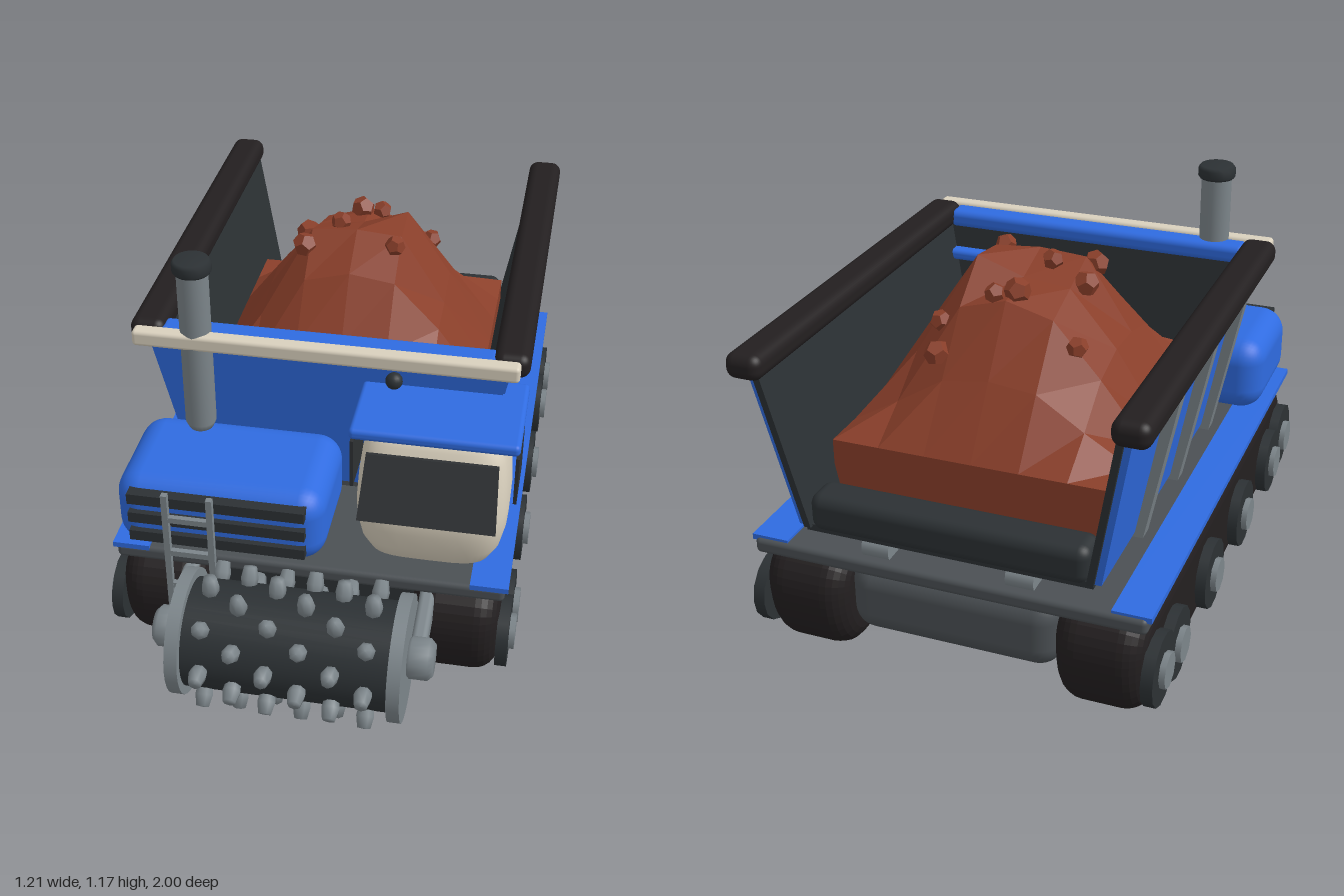
import * as THREE from 'three';
import { RoundedBoxGeometry } from 'three/addons/geometries/RoundedBoxGeometry.js';
import { ConvexGeometry } from 'three/addons/geometries/ConvexGeometry.js';

const mat = (color, flatShading = false) => new THREE.MeshStandardMaterial({ color, flatShading });
const BLUE = mat(0x2f6be0), CREAM = mat(0xd9d0bd), RUBBER = mat(0x231f20), DARK = mat(0x2c3134);
const DECK = mat(0x4b5054), STEEL = mat(0x7c858a), SOIL = mat(0x8a3f2a, true), GLASS = mat(0x2e3133);

export function createModel() {
  const root = new THREE.Group();

  const add = (name, geo, material, x = 0, y = 0, z = 0) => {
    const m = new THREE.Mesh(geo, material);
    m.name = name;
    m.position.set(x, y, z);
    root.add(m);
    return m;
  };
  // box given by its limits, rounded when r > 0
  const box = (name, material, [x0, x1], [y0, y1], [z0, z1], r = 0) => {
    const s = [x1 - x0, y1 - y0, z1 - z0];
    const geo = r ? new RoundedBoxGeometry(...s, 4, r) : new THREE.BoxGeometry(...s);
    return add(name, geo, material, (x0 + x1) / 2, (y0 + y1) / 2, (z0 + z1) / 2);
  };
  // cylinder lying along x
  const axle = (name, material, r, x0, x1, y, z, sides = 24) =>
    add(name, new THREE.CylinderGeometry(r, r, Math.abs(x1 - x0), sides).rotateZ(Math.PI / 2), material, (x0 + x1) / 2, y, z);
  const hull = (name, material, pts) =>
    add(name, new ConvexGeometry(pts.map(p => new THREE.Vector3(...p))), material);
  const lathe = (profile, sides, start = 0) =>
    new THREE.LatheGeometry(profile.map(q => new THREE.Vector2(...q)), sides, start);
  const span = (s, a, b) => s > 0 ? [a, b] : [-b, -a];

  // Crawler tracks: rounded side outline, bevelled across the width
  const b = 0.07, z0 = -0.96 + b, z1 = 0.64 - b, y0 = b, y1 = 0.335 - b;
  const outline = new THREE.Shape();
  outline.moveTo(z0 + 0.08, y0);
  outline.lineTo(z1 - 0.08, y0);
  outline.bezierCurveTo(z1 - 0.02, y0, z1, y0 + 0.09, z1, y0 + 0.14);
  outline.quadraticCurveTo(z1, y1, z1 - 0.05, y1);
  outline.lineTo(z0 + 0.05, y1);
  outline.quadraticCurveTo(z0, y1, z0, y0 + 0.14);
  outline.bezierCurveTo(z0, y0 + 0.09, z0 + 0.02, y0, z0 + 0.08, y0);
  for (const s of [-1, 1]) {
    const geo = new THREE.ExtrudeGeometry(outline, {
      depth: 0.115, bevelSize: b, bevelThickness: b, bevelSegments: 6, curveSegments: 8,
    }).translate(0, 0, -0.0575).rotateY(-Math.PI / 2);
    add('track', geo, RUBBER, s * 0.432, 0, 0);

    // Road wheels with hubs
    for (const [z, y] of [[0.53, 0.155], [0.385, 0.13], [0.02, 0.135], [-0.34, 0.135], [-0.7, 0.135], [-0.85, 0.155]]) {
      axle('wheel', DARK, 0.105, s * 0.556, s * 0.59, y, z, 14);
      axle('wheelHub', STEEL, 0.052, s * 0.58, s * 0.607, y, z, 8);
    }
    // Fender strip
    box('fender', BLUE, span(s, 0.47, 0.58), [0.355, 0.372], [-0.94, 0.6]);
  }

  // Chassis
  box('deck', DECK, [-0.57, 0.57], [0.318, 0.365], [-0.95, 0.6], 0.015);
  box('belly', DARK, [-0.36, 0.36], [0.11, 0.33], [-0.8, 0.55]);
  box('rearTank', DECK, [-0.31, 0.31], [0.1, 0.32], [-0.92, -0.7], 0.07);
  box('subframe', DECK, [-0.3, 0.3], [0.36, 0.42], [-0.85, 0.2]);

  // Hopper: flared side walls with dark lining, ribs and top rails
  for (const s of [-1, 1]) {
    const wall = (name, m, xb, xt, zf, zr) => hull(name, m, [0, 0.02].flatMap(d => [
      [s * (xb - d), 0.425, 0.235 - zf], [s * (xt - d), 0.9, 0.28 - zf],
      [s * (xb - d), 0.425, -0.92 - zr], [s * (xt - d), 0.9, -0.965 - zr]]));
    wall('hopperSide', BLUE, 0.437, 0.53, 0, 0);
    wall('hopperLining', DARK, 0.418, 0.511, 0.02, 0.012);
    for (const z of [0.04, -0.29, -0.62]) {
      hull('hopperRib', STEEL, [-0.024, 0.024].flatMap(d => [
        [s * 0.42, 0.41, z + d], [s * 0.46, 0.41, z + d], [s * 0.52, 0.885, z + d], [s * 0.56, 0.885, z + d]]));
    }
    box('hopperRail', RUBBER, span(s, 0.475, 0.58), [0.876, 0.95], [-1, 0.3], 0.03);
    // Tailgate hinge
    axle('tailgateHinge', STEEL, 0.035, s * 0.17, s * 0.25, 0.385, -0.89, 12);
  }
  const front = (name, m, z) => hull(name, m, [0, 0.02].flatMap(d => [
    [-0.43, 0.41, z - d], [0.43, 0.41, z - d], [-0.525, 0.9, z + 0.05 - d], [0.525, 0.9, z + 0.05 - d]]));
  front('hopperFront', BLUE, 0.237);
  front('hopperFrontLining', DARK, 0.217);
  box('hopperFrontRail', BLUE, [-0.49, 0.49], [0.88, 0.935], [0.225, 0.305], 0.02);
  box('creamBar', CREAM, [-0.56, 0.555], [0.892, 0.942], [0.295, 0.342], 0.012);
  box('hopperFloor', DARK, [-0.415, 0.415], [0.41, 0.43], [-0.92, 0.22]);
  box('tailgate', DARK, [-0.405, 0.405], [0.41, 0.525], [-0.93, -0.815], 0.035);

  // Soil heap: a box whose top follows a coarse faceted mound
  const height = (x, z) => {
    const d = (Math.abs(x / 0.4175) ** 3 + Math.abs((z + 0.278) / 0.4675) ** 3) ** (1 / 3);
    const mound = THREE.MathUtils.clamp((1 - d) / 0.62, 0, 1);
    const ridge = 0.05 * Math.max(0, 1 - Math.hypot(x - 0.13, z + 0.3) / 0.2);
    return 0.6 + 0.4 * mound + ridge + 0.03 * mound * Math.sin(x * 37 + 1) * Math.cos(z * 29);
  };
  const soil = new THREE.BoxGeometry(0.835, 1, 0.935, 6, 1, 7);
  const p = soil.attributes.position;
  for (let i = 0; i < p.count; i++) {
    p.setY(i, p.getY(i) > 0 ? height(p.getX(i), p.getZ(i) - 0.278) : 0.41);
  }
  soil.computeVertexNormals();
  const heap = add('soilHeap', soil, SOIL, 0, 0, -0.278);
  heap.updateMatrixWorld();

  // Rocks dropped straight down onto the heap
  const rocks = [[-0.21, -0.48], [-0.02, -0.44], [0.04, -0.455], [0.175, -0.56], [0.2, -0.475],
    [-0.165, -0.285], [-0.06, -0.27], [-0.155, -0.17], [0.125, -0.17]];
  const down = new THREE.Vector3(0, -1, 0);
  rocks.forEach(([x, z], i) => {
    const [hit] = new THREE.Raycaster(new THREE.Vector3(x, 2, z), down).intersectObject(heap);
    const rock = add('rock', new THREE.DodecahedronGeometry(0.032 + 0.007 * (i % 2)), SOIL, x, hit.point.y + 0.015, z);
    rock.rotation.set(i, i * 2, 0);
  });

  // Engine hood with grille slats
  box('engineHood', BLUE, [-0.565, 0.048], [0.368, 0.607], [0.23, 0.61], 0.075);
  for (const y of [0.432, 0.497, 0.562]) box('grilleSlat', DARK, [-0.515, 0], [y - 0.017, y + 0.017], [0.59, 0.628]);

  // Exhaust stack
  add('exhaustStack', lathe([[0, 0.6], [0.035, 0.605], [0.046, 0.63], [0.046, 1.14]], 20), STEEL, -0.38, 0, 0.295);
  add('exhaustCap', lathe([[0, 1.13], [0.052, 1.13], [0.057, 1.137], [0.057, 1.16], [0.05, 1.17], [0, 1.17]], 20),
    DARK, -0.38, 0, 0.295);

  // Front ladder
  for (const x of [-0.395, -0.265]) box('ladderRail', STEEL, [x - 0.009, x + 0.009], [0.085, 0.61], [0.64, 0.658]);
  for (const y of [0.16, 0.285, 0.405, 0.525]) box('ladderRung', STEEL, [-0.395, -0.265], [y - 0.009, y + 0.009], [0.641, 0.657]);

  // Cab: barrel profile squared off in plan, leaning back at the front
  const cab = lathe([[0, 0.365], [0.68, 0.365], [0.82, 0.385], [0.93, 0.43], [0.99, 0.49], [1, 0.55], [0.98, 0.63],
    [0.94, 0.7], [0.88, 0.74], [0.76, 0.768], [0, 0.772]], 40, Math.PI);
  const c = cab.attributes.position;
  const square = v => Math.sign(v) * Math.abs(v) ** 0.5;
  for (let i = 0; i < c.count; i++) {
    const r = Math.hypot(c.getX(i), c.getZ(i)) || 1;
    const taper = 1 - (c.getZ(i) > 0 ? 1.7 : 0.6) * Math.max(0, c.getY(i) - 0.55);
    c.setX(i, 0.218 * r * square(c.getX(i) / r));
    c.setZ(i, 0.17 * r * taper * square(c.getZ(i) / r));
  }
  cab.computeVertexNormals();
  add('cab', cab, CREAM, 0.338, 0, 0.39);
  box('cabRoof', BLUE, [0.105, 0.58], [0.775, 0.81], [0.2, 0.525], 0.014);
  for (const x of [0.105, 0.572]) box('sideWindow', GLASS, [x - 0.005, x + 0.005], [0.572, 0.728], [0.285, 0.465]);
  hull('windshield', GLASS, [0, 0.01].flatMap(d => [
    [0.145, 0.568, 0.612 - d], [0.533, 0.568, 0.612 - d], [0.155, 0.73, 0.518 - d], [0.525, 0.73, 0.518 - d]]));
  add('beacon', new THREE.SphereGeometry(0.025, 16, 12), DARK, 0.2, 0.843, 0.31);

  // Cutting drum with staggered teeth, end discs and arms
  const DY = 0.245, DZ = 0.79;
  axle('drum', DARK, 0.155, -0.3, 0.3, DY, DZ, 32);
  const toothGeo = lathe([[0, -0.035], [0.021, -0.035], [0.026, 0], [0.019, 0.033], [0, 0.035]], 7);
  for (let col = 0; col < 6; col++) {
    for (let k = 0; k < 8; k++) {
      const a = (k + (col * 0.4) % 1) * Math.PI / 4;
      const tooth = add('drumTooth', toothGeo, STEEL,
        -0.233 + col * 0.092, DY + 0.172 * Math.cos(a), DZ + 0.172 * Math.sin(a));
      tooth.rotation.x = a;
    }
  }
  const hubGeo = lathe([[0, -0.04], [0.045, -0.04], [0.06, -0.025], [0.06, 0.025], [0.045, 0.04], [0, 0.04]], 20);
  for (const s of [-1, 1]) {
    axle('drumDisc', STEEL, 0.18, s * 0.29, s * 0.327, DY, DZ, 32);
    add('armHub', hubGeo, STEEL, s * 0.36, 0.25, DZ).rotation.z = Math.PI / 2;
    const arm = add('drumArm', new RoundedBoxGeometry(0.045, 0.07, 0.28, 3, 0.015), STEEL, s * 0.35, 0.268, 0.67);
    arm.rotation.x = 0.15;
  }
  return root;
}
